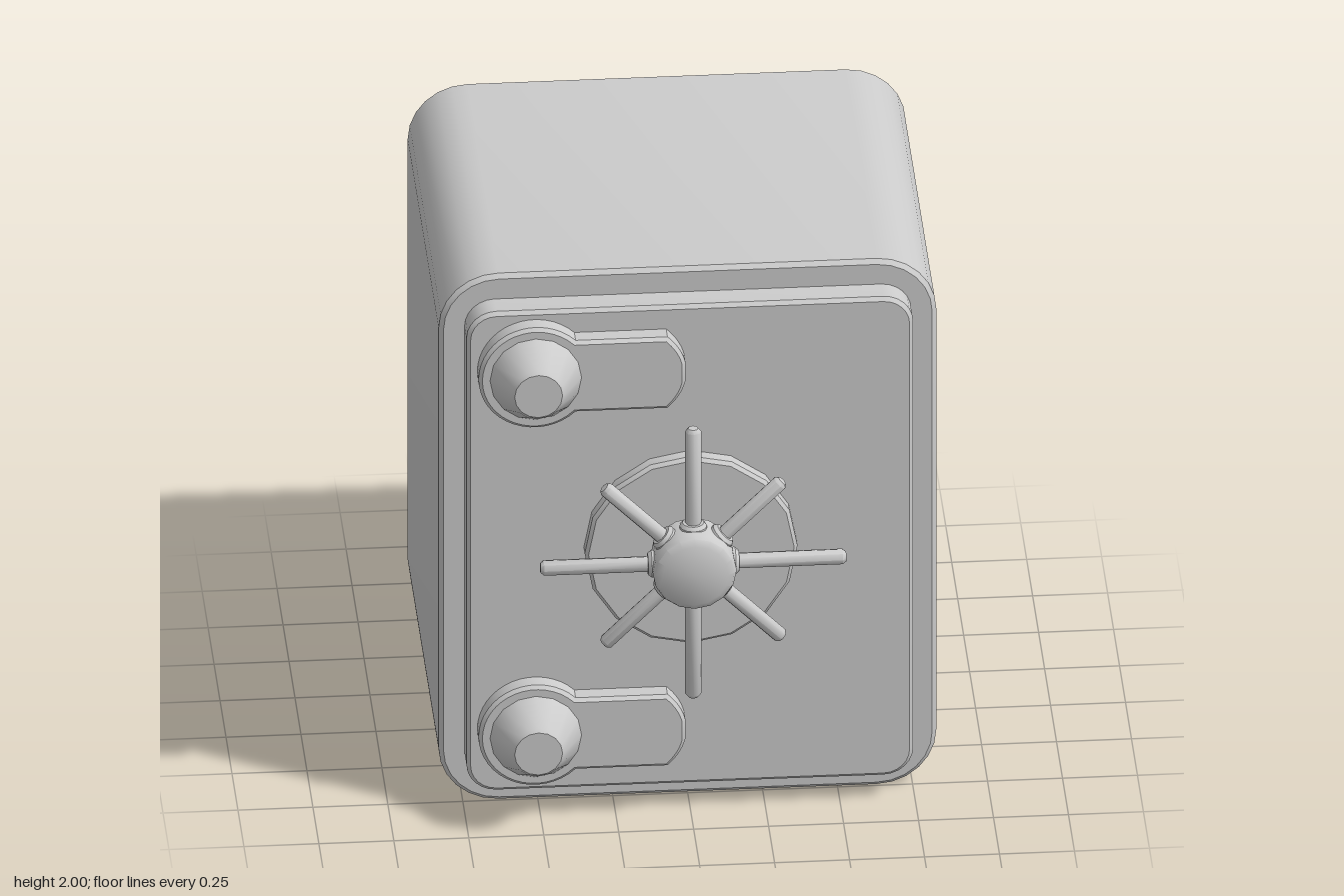
import * as THREE from 'three';
import { toCreasedNormals } from 'three/addons/utils/BufferGeometryUtils.js';

const material = new THREE.MeshStandardMaterial({ color: 0xcccccc });

function part(name, geometry, crease = 0.6) {
  const mesh = new THREE.Mesh(toCreasedNormals(geometry, crease), material);
  mesh.name = name;
  return mesh;
}

// Rounded rectangle centred on the origin
function roundedRect(w, h, r) {
  const x = w / 2, y = h / 2, s = new THREE.Shape();
  s.absarc(x - r, y - r, r, 0, Math.PI / 2);
  s.absarc(-x + r, y - r, r, Math.PI / 2, Math.PI);
  s.absarc(-x + r, -y + r, r, Math.PI, Math.PI * 1.5);
  s.absarc(x - r, -y + r, r, Math.PI * 1.5, Math.PI * 2);
  s.closePath();
  return s;
}

// Chamfered slab from z0 to z1; the outline keeps its full size
function slab(shape, z0, z1, bevel, curveSegments) {
  return new THREE.ExtrudeGeometry(shape, {
    depth: z1 - z0 - 2 * bevel, bevelEnabled: true, bevelThickness: bevel,
    bevelSize: bevel, bevelOffset: -bevel, bevelSegments: 1, curveSegments,
  }).translate(0, 0, z0 + bevel);
}

// Turned part: pairs of [radius, height]
function turned(profile, sides) {
  return new THREE.LatheGeometry(profile.map(([r, h]) => new THREE.Vector2(r, h)), sides);
}

function hinge(y) {
  const g = new THREE.Group();
  g.name = 'hinge';
  g.position.set(-0.52, y, 0);

  // Round plate running into a strap with a curved end
  const r = 0.19, half = 0.135, a = Math.asin(half / r);
  const s = new THREE.Shape();
  s.absarc(0, 0, r, a, Math.PI * 2 - a);
  s.lineTo(0.44, -half);
  s.quadraticCurveTo(0.488, -0.09, 0.5, -0.035);
  s.lineTo(0.5, 0.035);
  s.quadraticCurveTo(0.488, 0.09, 0.44, half);
  s.closePath();
  g.add(part('hingePlate', slab(s, 0.59, 0.668, 0.012, 16)));

  // Tapered knob
  const knob = turned([[0.155, 0.655], [0.152, 0.672], [0.092, 0.775], [0.08, 0.788], [0, 0.788]], 16);
  g.add(part('hingeKnob', knob.rotateX(Math.PI / 2)));
  return g;
}

function handWheel() {
  const g = new THREE.Group();
  g.name = 'handWheel';
  g.position.y = 1.005;

  const plate = turned([[0.355, 0.59], [0.355, 0.643], [0.343, 0.655], [0, 0.655]], 16);
  g.add(part('wheelPlate', plate.rotateX(Math.PI / 2)));

  const hub = turned([[0.115, 0.645], [0.14, 0.68], [0.14, 0.795], [0.132, 0.812], [0.11, 0.826], [0, 0.826]], 16);
  g.add(part('hub', hub.rotateX(Math.PI / 2)));

  // Eight spokes, the diagonal ones shorter, each in a small collar
  for (let i = 0; i < 8; i++) {
    const length = i % 2 ? 0.42 : 0.51;
    const arm = new THREE.Group();
    arm.name = 'spokeArm';
    arm.position.z = 0.73;
    arm.rotation.z = i * Math.PI / 4;
    arm.add(
      part('spoke', turned([[0.027, 0.1], [0.027, length - 0.012], [0.017, length], [0, length]], 8), 0.82),
      part('collar', turned([[0.046, 0.1], [0.046, 0.14], [0.036, 0.152], [0.025, 0.152]], 12)),
    );
    g.add(arm);
  }
  return g;
}

export function createModel() {
  const model = new THREE.Group();
  model.name = 'safe';

  const body = part('body', slab(roundedRect(1.66, 2, 0.2), -0.82, 0.505, 0.015, 3));
  body.position.y = 1;
  const door = part('door', slab(roundedRect(1.49, 1.82, 0.1), 0.49, 0.602, 0.013, 3));
  door.position.y = 1;

  model.add(body, door, hinge(1.69), hinge(0.33), handWheel());
  return model;
}
